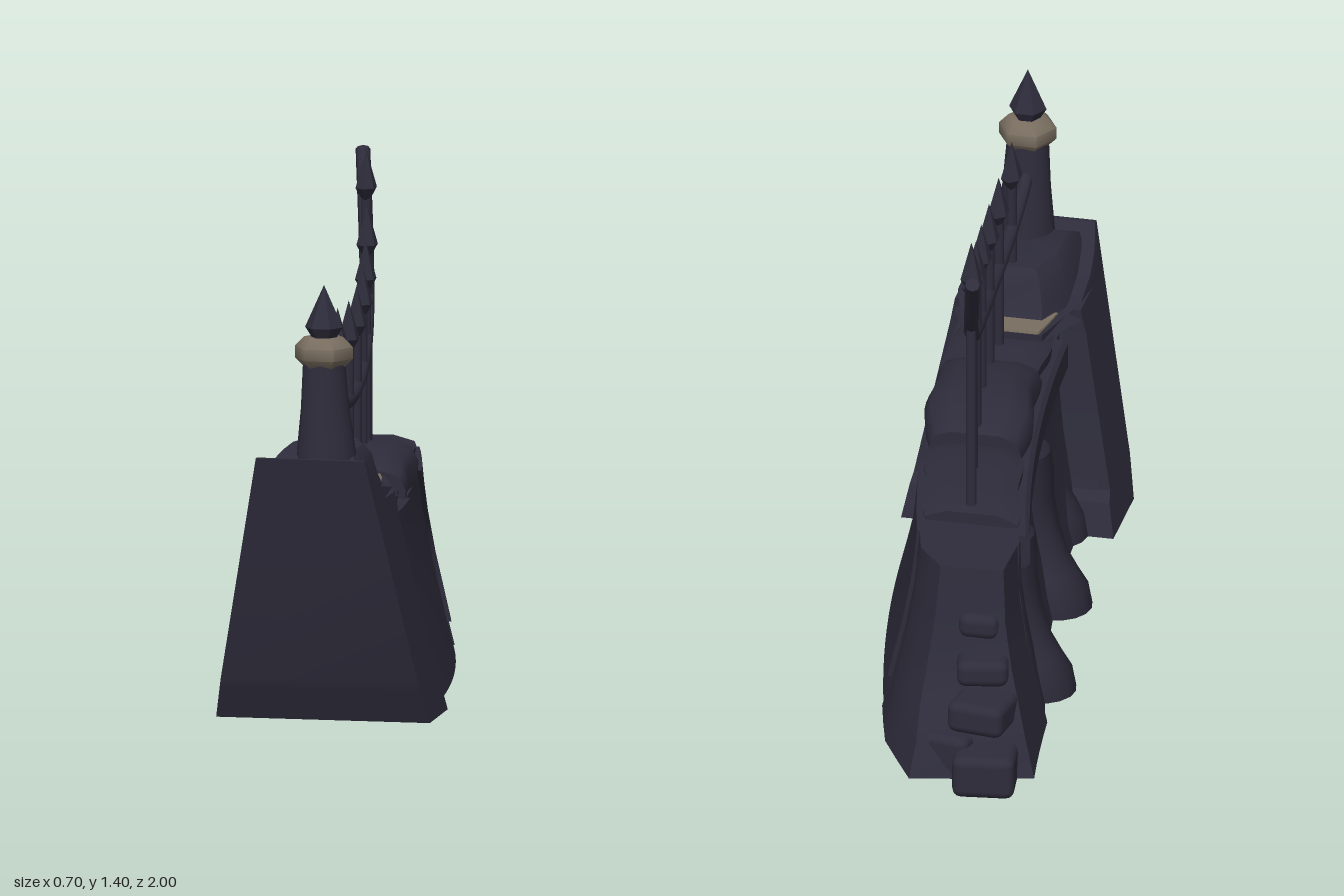
import * as THREE from 'three';
import { toCreasedNormals } from 'three/addons/utils/BufferGeometryUtils.js';
import { RoundedBoxGeometry } from 'three/addons/geometries/RoundedBoxGeometry.js';

// plan curve that wall, coping and railing all follow
const curveX = z => 0.008 + 0.151 * z - 0.089 * z * z;

// piecewise-linear lookup in [[key, value], ...] with rising keys
function lookup(table, k) {
  for (let i = 1; i < table.length; i++) {
    const [a, va] = table[i - 1], [b, vb] = table[i];
    if (k <= b) return va + (vb - va) * Math.max(0, (k - a) / (b - a));
  }
  return table[table.length - 1][1];
}
const RIGHT = [[0.03, 0.245], [0.12, 0.222], [0.3, 0.18], [0.45, 0.152], [0.57, 0.14]];
const LEFT = [[0.03, 0.205], [0.12, 0.185], [0.3, 0.15], [0.45, 0.13], [0.57, 0.13]];

// skin over closed rings of [x, y, z], with both ends capped
function loft(rings, crease = 0.6) {
  const n = rings[0].length, idx = [], last = (rings.length - 1) * n;
  for (let i = 0; i < rings.length - 1; i++)
    for (let j = 0; j < n; j++) {
      const a = i * n + j, b = i * n + (j + 1) % n;
      idx.push(a, b, b + n, a, b + n, a + n);
    }
  for (let j = 1; j < n - 1; j++) idx.push(0, j + 1, j, last, last + j, last + j + 1);
  const g = new THREE.BufferGeometry();
  g.setAttribute('position', new THREE.Float32BufferAttribute(rings.flat(2), 3));
  g.setIndex(idx);
  return toCreasedNormals(g, crease);
}

function warp(g, rule) {
  const p = g.attributes.position, v = new THREE.Vector3();
  for (let i = 0; i < p.count; i++) {
    rule(v.fromBufferAttribute(p, i));
    p.setXYZ(i, v.x, v.y, v.z);
  }
  return g;
}

const range = (a, b, n) => Array.from({ length: n + 1 }, (_, i) => a + (b - a) * i / n);
const lathe = (pts, sides, crease = 0.8) => toCreasedNormals(
  new THREE.LatheGeometry(pts.map(p => new THREE.Vector2(...p)), sides), crease);

export function createModel() {
  const model = new THREE.Group();
  const mat = (name, color) => new THREE.MeshStandardMaterial({ name, color, side: THREE.DoubleSide });
  const stone = mat('darkStone', 0x2e2c3b);
  const trim = mat('paleTrim', 0x786d5f);
  const add = (name, geometry, material = stone, parent = model) => {
    const m = new THREE.Mesh(geometry, material);
    m.name = name;
    parent.add(m);
    return m;
  };

  // battered, curved wall: a thin shell with a rim along the open underside
  const wallRing = z => [
    ...[...RIGHT].reverse().map(([y, w]) => [w, y]),
    [0.19, 0.03], [0.19, 0.09], [0.128, 0.54], [-0.112, 0.54], [-0.175, 0.03],
    ...LEFT.map(([y, w]) => [-w, y]),
  ].map(([x, y]) => [curveX(z) + x, y, z]);
  add('wall', loft(range(0.7, -0.58, 16).map(wallRing)));

  // broken far end, narrowing and sloping to the ground
  const END = [[0.03, -0.965], [0.12, -0.93], [0.2, -0.85], [0.3, -0.8], [0.42, -0.77], [0.57, -0.745]];
  add('brokenEnd', loft(END.map(([y, zEnd]) => {
    const right = range(-0.55, zEnd, 4).map((z, i) =>
      [curveX(z) + lookup(RIGHT, y) + 0.004 - (i > 2 ? 0.025 * (i - 2) : 0), y, z]);
    const left = range(-0.55, zEnd + (y < 0.15 ? 0.075 : 0.01), 4).map((z, i) =>
      [curveX(z) - lookup(LEFT, y) - 0.005 + 0.0135 * i, y, z]);
    return [...right, ...left.reverse()];
  })));

  // raised arch sides on the right face
  const archSide = (name, rows) => add(name, loft(rows.map(([y, za, zb]) => {
    const zs = range(za, zb, 5), x = (z, d) => curveX(z) + lookup(RIGHT, y) + d;
    return [...zs.map(z => [x(z, 0.012), y, z]), ...zs.reverse().map(z => [x(z, -0.005), y, z])];
  })));
  archSide('frontArchSide', [[0.12, 0.66, 0.58], [0.22, 0.67, 0.572], [0.3, 0.68, 0.545], [0.38, 0.7, 0.485],
    [0.45, 0.7, 0.42], [0.52, 0.7, 0.36], [0.57, 0.7, 0.34]]);
  archSide('rearArchSide', [[0.12, -0.38, -0.55], [0.22, -0.385, -0.55], [0.3, -0.37, -0.55],
    [0.36, -0.345, -0.55], [0.42, -0.305, -0.55], [0.5, -0.225, -0.55], [0.57, -0.14, -0.55]]);

  // ledge along the left face
  add('leftLedge', loft(range(0.66, -0.52, 12).map(z =>
    [[-0.1, 0.57], [-0.1, 0.475], [-0.15, 0.475], [-0.162, 0.49], [-0.162, 0.56], [-0.15, 0.572]]
      .map(([x, y]) => [curveX(z) + x, y, z]))));

  // leaning vase-shaped buttresses under the ledge
  for (const [z, foot] of [[0.57, 0.135], [0.15, 0.205], [-0.35, 0.19]]) {
    const g = lathe([[0.1, 0.03], [0.102, 0.09], [0.085, 0.135], [0.068, 0.19], [0.063, 0.27],
      [0.069, 0.36], [0.085, 0.43], [0.09, 0.49]], 16);
    add('buttress', warp(g, v => {
      v.x += curveX(z) - foot + (v.y - 0.03) * 0.23;
      v.z += z;
    }));
  }

  // worn coping stones
  const coping = (z0, z1, h, w) => add('copingStone', loft(range(0, 1, 12).map(t => {
    const z = z0 + (z1 - z0) * t, e = Math.pow(Math.sin(Math.PI * (0.06 + 0.88 * t)), 0.45);
    const ww = w * (0.84 + 0.14 * e + 0.05 * Math.sin(t * 9 + z0 * 5)), top = 0.57 + h * (0.35 + 0.65 * e);
    return [[0.55, top], [0.88, top - 0.016], [1, top - h * 0.45], [0.97, 0.56],
      [-0.97, 0.56], [-1, top - h * 0.45], [-0.88, top - 0.016], [-0.55, top]]
      .map(([x, y]) => [curveX(z) + x * ww, y, z]);
  }), 0.9));
  coping(0.72, 0.33, 0.06, 0.135);
  coping(0.36, -0.09, 0.112, 0.148);
  coping(-0.06, -0.48, 0.05, 0.138);

  // rubble against the broken end
  [[-0.22, 0.06, -0.89, 0.17, 0.12, 0.21, 0.12], [-0.12, 0.08, -0.85, 0.14, 0.13, 0.16, -0.2],
    [-0.205, 0.205, -0.86, 0.16, 0.09, 0.16, -0.15], [-0.19, 0.305, -0.8, 0.14, 0.075, 0.12, 0.2],
    [-0.17, 0.41, -0.745, 0.11, 0.07, 0.08, 0]].forEach(([x, y, z, w, h, d, turn]) => {
    const m = add('rubble', new RoundedBoxGeometry(w, h, d, 2, 0.025));
    m.position.set(x, y, z);
    m.rotation.y = turn;
  });

  // hollow end pier: tapers upward while its front leans out
  const pierX = 0.055, pierHalf = y => 0.295 - 0.145 * (y - 0.03) / 0.74;
  const block = (x, y, w, zb, zf) => [[x + w, y, zf], [x + w, y, zb], [x - w, y, zb], [x - w, y, zf]];
  const frontZ = y => lookup([[0.03, 0.82], [0.14, 0.868], [0.77, 1.0]], y);
  add('pier', loft([[0.5, 0.715, 0.91, 0.175], [0.03, 0.6, 0.79, 0.265], [0.03, 0.57, 0.82, 0.295],
    [0.12, 0.6, frontZ(0.12)], [0.145, 0.63, frontZ(0.145)], [0.57, 0.705, frontZ(0.57)],
    [0.645, 0.7, frontZ(0.645)]].map(([y, zb, zf, w = pierHalf(y)]) => block(pierX, y, w, zb, zf)), 0.3));

  // pier cap sweeping down from the front edge to a thin shelf
  const capRing = s => [[frontZ(0.63), 0.63], [0.7, 0.615], [0.51, 0.635], [0.51, 0.655], [0.72, 0.66],
    [0.85, 0.68], [0.93, 0.715], [0.985, 0.77], [1.0, 0.77]].map(([z, y]) => {
    const k = Math.min(1, Math.max(0, (z - 0.51) / 0.2));
    return [pierX + s * (0.11 + (pierHalf(y) - 0.11) * k), y, z];
  });
  add('pierCap', loft([capRing(-1), capRing(1)], 0.4));
  add('shelfTrim', loft([[0.654, 0.1, 0.512], [0.662, 0.098, 0.514]]
    .map(([y, w, zb]) => [[pierX + 0.125, y, 0.64], [pierX + 0.115, y, 0.58], [pierX + w, y, zb],
      [pierX - w, y, zb], [pierX - 0.115, y, 0.58], [pierX - 0.125, y, 0.64]]), 0.2), trim);
  const slab = (y, back, front, zb, zf) => [[pierX + front, y, zf], [pierX + front, y, zb + 0.1],
    [pierX + back, y, zb], [pierX - back, y, zb], [pierX - front, y, zb + 0.1], [pierX - front, y, zf]];
  add('pierPlatform', loft([slab(0.65, 0.095, 0.14, 0.575, 0.95), slab(0.69, 0.088, 0.13, 0.61, 0.955),
    slab(0.755, 0.075, 0.115, 0.63, 0.95), slab(0.78, 0.06, 0.095, 0.655, 0.9)], 0.6));

  // corner column with collar and pointed finial
  add('column', warp(lathe([[0.086, 0.7], [0.08, 0.78], [0.066, 0.9], [0.057, 1.03]], 14), v => {
    v.x += 0.08;
    v.z += 0.932 - (1.03 - v.y) * 0.13;
  }));
  const hex = (name, pts, material, crease) => {
    const m = add(name, lathe(pts, 6, crease), material);
    m.position.set(0.08, 0, 0.932);
    m.rotation.y = Math.PI / 6;
  };
  hex('collar', [[0, 1.015], [0.055, 1.015], [0.08, 1.04], [0.08, 1.072], [0.055, 1.098], [0, 1.098]], trim, 1.1);
  hex('finial', [[0.03, 1.09], [0.052, 1.125], [0, 1.24]], stone, 0.1);

  // railing: spear-headed bars and one sagging rail
  const railing = new THREE.Group();
  railing.name = 'railing';
  model.add(railing);
  const head = lathe([[0.014, -0.14], [0.042, -0.105], [0, 0]], 6, 0.1);
  for (const [z, tip] of [[0.69, 1.14], [0.49, 1.13], [0.31, 1.14], [0.125, 1.17],
    [-0.055, 1.21], [-0.24, 1.275], [-0.435, 1.4]]) {
    const h = tip - 0.12 - 0.56;
    add('bar', new THREE.CylinderGeometry(0.015, 0.015, h, 8), stone, railing)
      .position.set(curveX(z), 0.56 + h / 2, z);
    const spear = add('spearhead', head, stone, railing);
    spear.position.set(curveX(z), tip, z);
    spear.scale.x = 0.7;
  }
  const path = new THREE.CatmullRomCurve3([[0.92, 0.975], [0.84, 0.925], [0.69, 0.877], [0.49, 0.857],
    [0.31, 0.865], [0.125, 0.892], [-0.055, 0.94], [-0.24, 1.02], [-0.435, 1.15], [-0.625, 1.37]]
    .map(([z, y]) => new THREE.Vector3(curveX(z), y, z)));
  add('rail', new THREE.TubeGeometry(path, 40, 0.02, 8), stone, railing);
  const tail = add('railEnd', new THREE.CircleGeometry(0.02, 8), stone, railing);
  tail.position.copy(path.getPoint(1));
  tail.lookAt(path.getPoint(1).add(path.getTangent(1)));

  return model;
}
